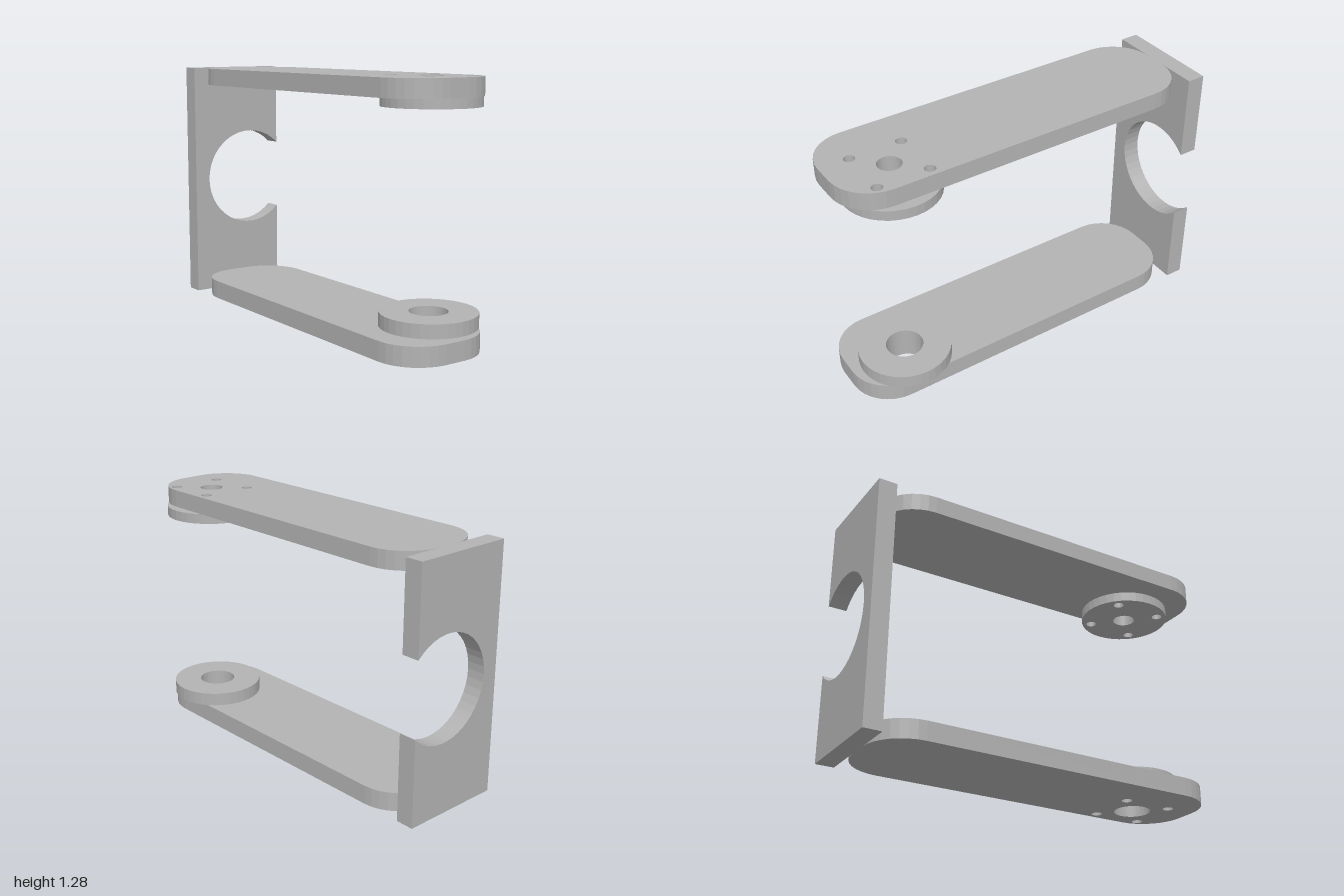
import * as THREE from 'three';

const BACK = -0.245, FRONT = 0.3;      // depth of the arms and end plate
const HEIGHT = 1.285;
const INNER = -0.905;                  // inner face of the end plate
const PIVOT = { x: 0.711, z: -0.058 }; // shared axis of the bosses

const metal = new THREE.MeshStandardMaterial({ color: 0xb3b3b3 });
metal.name = 'plain grey';

function circle(PathType, x, z, r) {
  const p = new PathType();
  p.absarc(x, z, r, 0, Math.PI * 2, false);
  return p;
}

// Extrudes a plan outline (x, z) between two heights
function slab(name, shape, y0, y1) {
  const geo = new THREE.ExtrudeGeometry(shape, { depth: y1 - y0, bevelEnabled: false, curveSegments: 18 });
  geo.rotateX(Math.PI / 2).translate(0, y1, 0);
  const mesh = new THREE.Mesh(geo, metal);
  mesh.name = name;
  return mesh;
}

// Long bar with four rounded corners
function armOutline() {
  const r = 0.216, steps = 8, pts = [];
  const corners = [[1 - r, FRONT - r], [INNER + r, FRONT - r], [INNER + r, BACK + r], [1 - r, BACK + r]];
  corners.forEach(([cx, cz], k) => {
    for (let i = 0; i <= steps; i++) {
      const a = (k + i / steps) * Math.PI / 2;
      pts.push(new THREE.Vector2(cx + r * Math.cos(a), cz + r * Math.sin(a)));
    }
  });
  return new THREE.Shape(pts);
}

function addScrewHoles(shape) {
  for (const sx of [-1, 1]) for (const sz of [-1, 1]) {
    shape.holes.push(circle(THREE.Path, PIVOT.x + sx * 0.134, PIVOT.z + sz * 0.135, 0.028));
  }
}

// Arm with its pivot bore and screw holes
function arm(name, y0, y1, bore) {
  const shape = armOutline();
  shape.holes.push(circle(THREE.Path, PIVOT.x, PIVOT.z, bore));
  addScrewHoles(shape);
  return slab(name, shape, y0, y1);
}

// Round pad on the inner side of an arm
function boss(name, y0, y1, bore, screws) {
  const shape = circle(THREE.Shape, PIVOT.x, PIVOT.z, 0.241);
  shape.holes.push(circle(THREE.Path, PIVOT.x, PIVOT.z, bore));
  if (screws) addScrewHoles(shape);
  return slab(name, shape, y0, y1);
}

// Upright plate with a round cutout open to the back
function endPlate() {
  const cz = -0.055, cy = 0.645, r = 0.27;
  const open = Math.acos((BACK - cz) / r);
  const s = new THREE.Shape();
  s.moveTo(BACK, 0);
  s.lineTo(FRONT, 0);
  s.lineTo(FRONT, HEIGHT);
  s.lineTo(BACK, HEIGHT);
  s.absarc(cz, cy, r, open, -open, true);
  s.closePath();
  const geo = new THREE.ExtrudeGeometry(s, { depth: 1 + INNER, bevelEnabled: false, curveSegments: 16 });
  geo.rotateY(-Math.PI / 2).translate(INNER, 0, 0);
  const mesh = new THREE.Mesh(geo, metal);
  mesh.name = 'endPlate';
  return mesh;
}

export function createModel() {
  const model = new THREE.Group();
  model.name = 'bracket';
  model.add(
    endPlate(),
    arm('upperArm', 1.195, HEIGHT, 0.06),
    boss('upperBoss', 1.143, 1.195, 0.06, true),
    arm('lowerArm', 0, 0.097, 0.096),
    boss('lowerBoss', 0.097, 0.167, 0.096, false),
  );
  return model;
}
